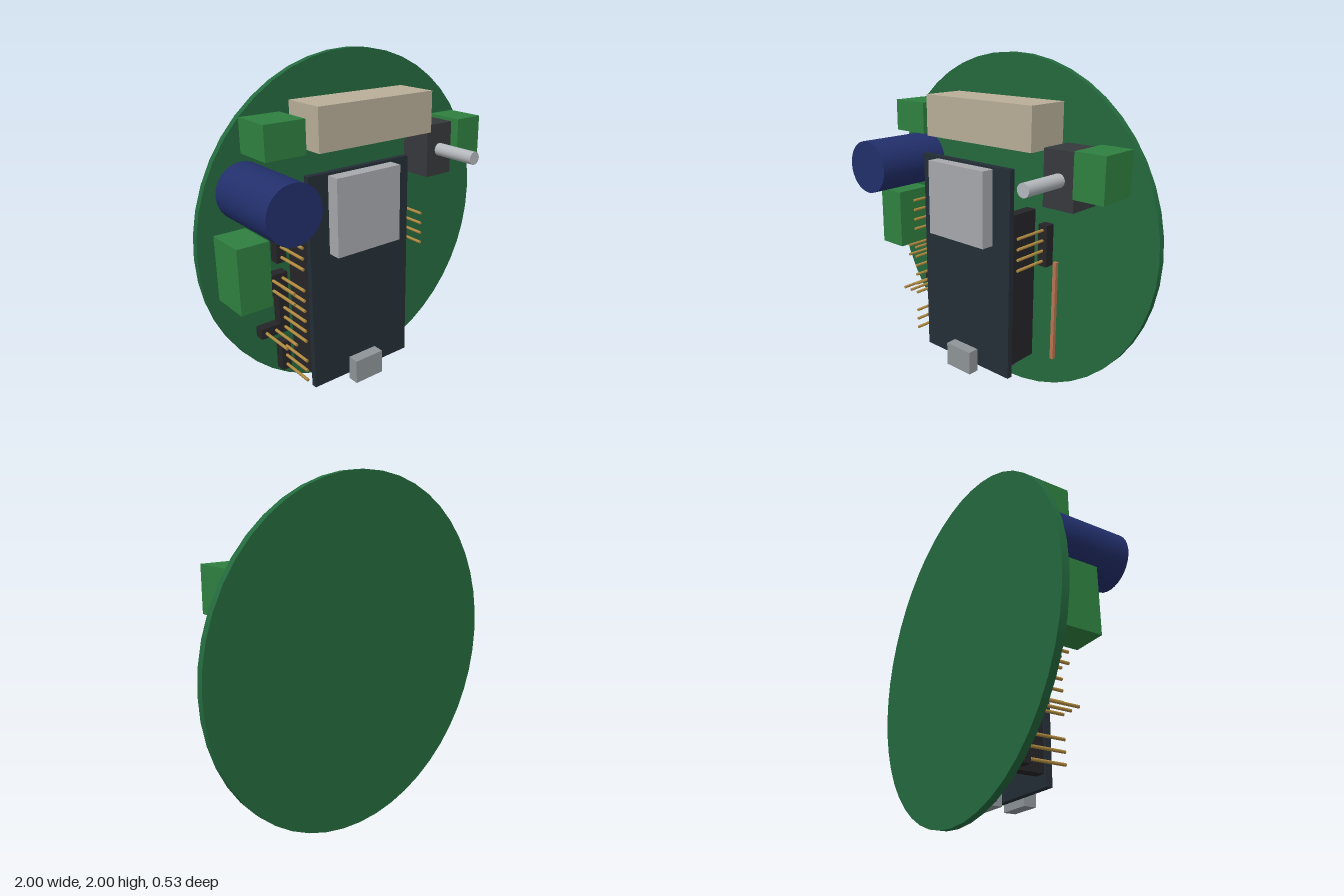
import * as THREE from 'three';

const FACE = -0.225; // front surface of the circuit board
const PITCH = 0.0617; // header pin spacing

const COLORS = {
  board: 0x246a3e, terminal: 0x2f8040, beige: 0xb8ae98, blue: 0x222f6b,
  module: 0x242e36, metal: 0xa6a8ac, usb: 0x8e9498, black: 0x252528,
  pot: 0x36393c, shaft: 0xb4b8bc, gold: 0xb08a40, copper: 0xb87350, purple: 0x5a3a8a,
};
const materials = {};
for (const key in COLORS) materials[key] = new THREE.MeshStandardMaterial({ color: COLORS[key] });

export function createModel() {
  const model = new THREE.Group();

  const add = (name, geometry, color, x, y, z, parent = model) => {
    const mesh = new THREE.Mesh(geometry, materials[color]);
    mesh.name = name;
    mesh.position.set(x, y, z);
    parent.add(mesh);
    return mesh;
  };

  // Box given by its limits along each axis
  const box = (name, color, [x0, x1], [y0, y1], [z0, z1], parent) =>
    add(name, new THREE.BoxGeometry(x1 - x0, y1 - y0, z1 - z0), color,
      (x0 + x1) / 2, (y0 + y1) / 2, (z0 + z1) / 2, parent);

  // Cylinder along z
  const rod = (name, color, x, y, r, [z0, z1], sides, parent) =>
    add(name, new THREE.CylinderGeometry(r, r, z1 - z0, sides).rotateX(Math.PI / 2), color,
      x, y, (z0 + z1) / 2, parent);

  // Pin header with its first pin at x, y and a grid of columns and rows
  const header = (name, x, y, columns, rows) => {
    const group = new THREE.Group();
    group.name = name;
    const h = PITCH / 2;
    box('headerBase', 'black', [x - h, x + columns * PITCH - h], [y - h, y + rows * PITCH - h], [FACE, -0.165], group);
    for (let c = 0; c < columns; c++)
      for (let r = 0; r < rows; r++)
        rod('pin', 'gold', x + c * PITCH, y + r * PITCH, 0.009, [-0.17, 0.05], 8, group);
    model.add(group);
  };

  // Round circuit board
  rod('circuitBoard', 'board', 0, 1, 1, [-0.265, FACE], 48);

  // Large connector and screw terminals
  box('topConnector', 'beige', [-0.41, 0.375], [1.52, 1.76], [FACE, 0.043]);
  box('topTerminal', 'terminal', [-0.71, -0.47], [1.52, 1.705], [FACE, 0.018]);
  box('sideTerminal', 'terminal', [-0.9, -0.715], [0.75, 1.115], [FACE, 0.018]);
  box('potTerminal', 'terminal', [0.625, 0.81], [1.315, 1.56], [FACE, 0.018]);

  // Capacitor
  rod('capacitor', 'blue', -0.71, 1.32, 0.158, [FACE, 0.265], 32);

  // Potentiometer
  box('potentiometerBody', 'pot', [0.41, 0.605], [1.23, 1.545], [FACE, -0.02]);
  rod('potentiometerShaft', 'shaft', 0.51, 1.388, 0.038, [-0.02, 0.265], 20);

  // Controller module raised on two socket strips
  const controller = new THREE.Group();
  controller.name = 'controllerModule';
  model.add(controller);
  box('controllerBoard', 'module', [-0.47, 0.217], [0.14, 1.405], [-0.015, 0.02], controller);
  box('radioShield', 'metal', [-0.345, 0.09], [0.945, 1.39], [0.02, 0.1], controller);
  box('controllerUsbPort', 'usb', [-0.225, -0.03], [0.1, 0.247], [0.02, 0.09], controller);
  for (const x of [-0.455, 0.138])
    box('socketStrip', 'black', [x, x + 0.063], [0.205, 1.135], [FACE, -0.015], controller);

  // Charger board and small connector beneath the controller
  box('chargerBoard', 'purple', [-0.32, 0.067], [0.08, 0.7], [FACE, -0.193]);
  box('chargerUsbPort', 'usb', [-0.235, -0.02], [0.08, 0.24], [-0.193, -0.113]);
  box('hiddenConnector', 'beige', [-0.25, 0], [0.98, 1.155], [FACE, -0.165]);

  // Pin headers
  header('upperHeader', -0.54, 0.917, 1, 4);
  header('middleHeader', -0.54, 0.485, 1, 6);
  header('middleHeaderSide', -0.54 - PITCH, 0.485 + 4 * PITCH, 1, 2);
  header('middleHeaderFoot', -0.54 - 2 * PITCH, 0.485, 2, 1);
  header('lowerHeader', -0.54, 0.236, 1, 3);
  header('rightHeader', 0.303, 0.857, 1, 4);

  // Copper antenna strip
  box('antenna', 'copper', [0.354, 0.376], [0.24, 0.853], [FACE, -0.202]);

  return model;
}
